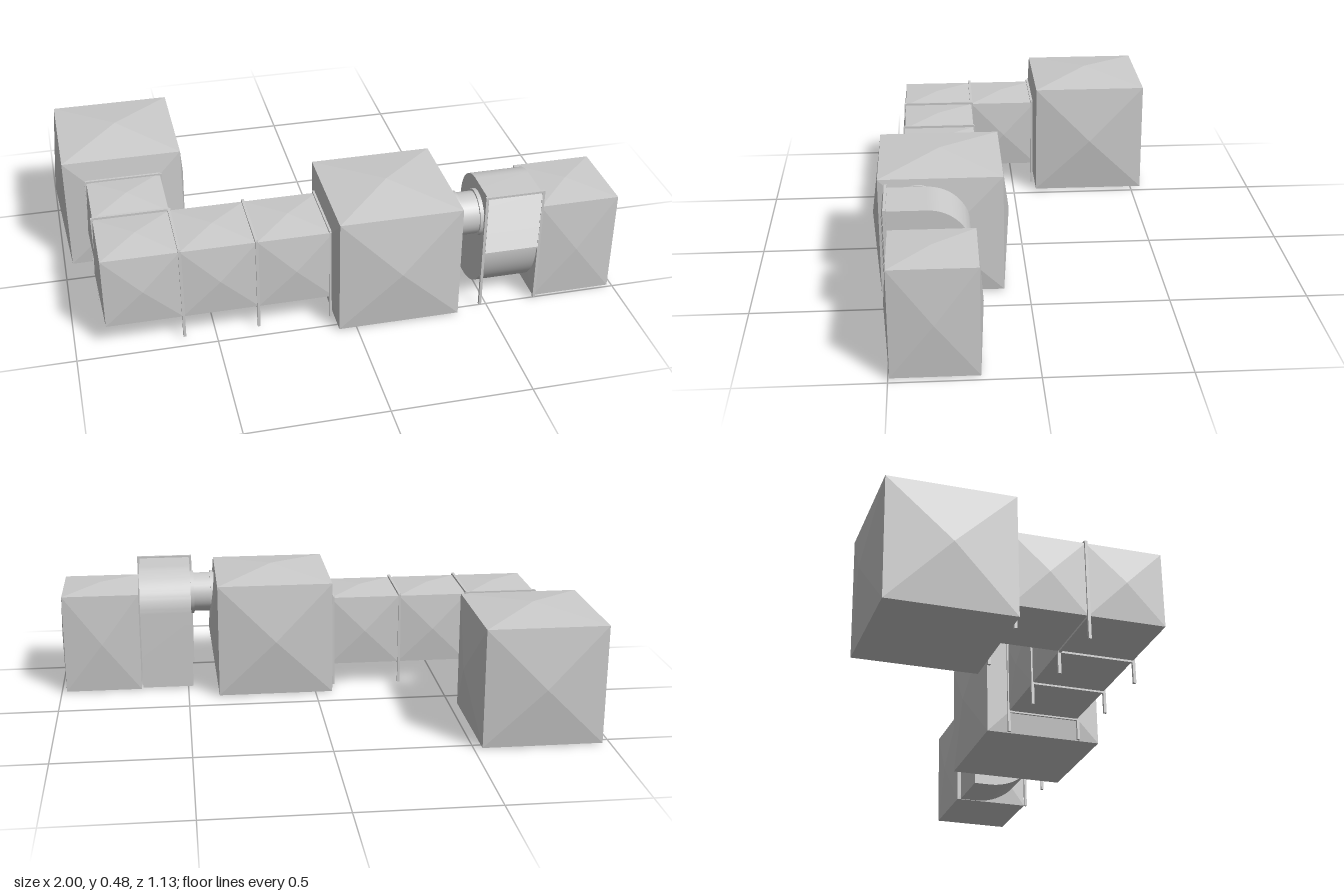
import * as THREE from 'three';
import { toCreasedNormals } from 'three/addons/utils/BufferGeometryUtils.js';

const grey = new THREE.MeshStandardMaterial({ color: 0xcccccc });
const faceted = new THREE.MeshStandardMaterial({ color: 0xcccccc, flatShading: true });

// Box whose six faces each rise to a shallow pyramid point
function peakedBox(name, [x0, x1], [y0, y1], [z0, z1], peak, bottomPeak = peak) {
  const centre = new THREE.Vector3(x0 + x1, y0 + y1, z0 + z1).multiplyScalar(0.5);
  const half = new THREE.Vector3(x1 - x0, y1 - y0, z1 - z0).multiplyScalar(0.5);
  const pos = [];
  for (let axis = 0; axis < 3; axis++) {
    const u = (axis + 1) % 3, v = (axis + 2) % 3;
    for (const side of [-1, 1]) {
      const point = (a, b, lift) => {
        const p = new THREE.Vector3();
        p.setComponent(axis, side * (half.getComponent(axis) + lift));
        p.setComponent(u, a * side * half.getComponent(u));
        p.setComponent(v, b * half.getComponent(v));
        return p.add(centre);
      };
      const tip = point(0, 0, axis === 1 && side < 0 ? bottomPeak : peak);
      const ring = [[-1, -1], [1, -1], [1, 1], [-1, 1]].map(([a, b]) => point(a, b, 0));
      ring.forEach((p, i) => {
        for (const q of [p, ring[(i + 1) % 4], tip]) pos.push(q.x, q.y, q.z);
      });
    }
  }
  const geo = new THREE.BufferGeometry();
  geo.setAttribute('position', new THREE.Float32BufferAttribute(pos, 3));
  geo.computeVertexNormals();
  const mesh = new THREE.Mesh(geo, faceted);
  mesh.name = name;
  return mesh;
}

function bar(name, w, h, d, x, y, z) {
  const mesh = new THREE.Mesh(new THREE.BoxGeometry(w, h, d), grey);
  mesh.position.set(x, y, z);
  mesh.name = name;
  return mesh;
}

// Portal frame: two legs to the ground and bars over and under the corridor
function supportFrame(x, z, alongX) {
  const frame = new THREE.Group();
  frame.name = 'supportFrame';
  const t = 0.01, half = 0.139;
  for (const s of [-1, 1]) frame.add(bar('frameLeg', t, 0.366, t, s * half, 0.19, 0));
  for (const y of [0.371, 0.09]) frame.add(bar('frameBeam', half * 2, t, t, 0, y, 0));
  frame.position.set(x, 0, z);
  if (alongX) frame.rotation.y = Math.PI / 2;
  return frame;
}

function ductPart(name, radius, x, length) {
  const mesh = new THREE.Mesh(new THREE.CylinderGeometry(radius, radius, length, 32), grey);
  mesh.rotation.z = Math.PI / 2;
  mesh.position.set(x, 0.345, 0.395);
  mesh.name = name;
  return mesh;
}

export function createModel() {
  const model = new THREE.Group();
  model.name = 'linkedModules';

  // Main modules
  model.add(
    peakedBox('rearModule', [-0.97, -0.53], [0.007, 0.45], [-0.54, -0.095], 0.03, 0.005),
    peakedBox('centreModule', [-0.065, 0.38], [0.007, 0.45], [0.09, 0.535], 0.03, 0.005),
    peakedBox('endModule', [0.685, 0.98], [0.007, 0.397], [0.197, 0.495], 0.016, 0.005)
  );

  // L-shaped corridor
  const h = [0.093, 0.367], front = [0.173, 0.447];
  for (const xs of [[-0.887, -0.613], [-0.613, -0.34], [-0.34, -0.067]])
    model.add(peakedBox('corridorSegment', xs, h, front, 0.015));
  model.add(peakedBox('corridorLink', [-0.887, -0.613], h, [-0.095, 0.173], 0.015));
  for (const x of [-0.613, -0.343, -0.078]) model.add(supportFrame(x, 0.31, true));
  for (const z of [0.173, -0.081]) model.add(supportFrame(-0.75, z, false));

  // Air handler body with rounded upper back and lower front
  const profile = new THREE.Shape();
  profile.moveTo(0.5, 0.23);
  profile.lineTo(0.5, 0.463);
  profile.lineTo(0.36, 0.463);
  profile.absarc(0.36, 0.313, 0.15, Math.PI / 2, Math.PI, false);
  profile.lineTo(0.21, 0.007);
  profile.lineTo(0.277, 0.007);
  profile.absarc(0.277, 0.23, 0.223, -Math.PI / 2, 0, false);
  const bodyGeo = new THREE.ExtrudeGeometry(profile, { depth: 0.2, bevelEnabled: false, curveSegments: 14 });
  bodyGeo.rotateY(-Math.PI / 2);
  bodyGeo.translate(0.68, 0, 0);
  const body = new THREE.Mesh(toCreasedNormals(bodyGeo, 0.5), grey);
  body.name = 'airHandlerBody';
  model.add(body);

  // Louvred grille in its frame
  for (const x of [0.475, 0.685]) model.add(bar('grillePost', 0.01, 0.463, 0.01, x, 0.2385, 0.502));
  for (const y of [0.466, 0.232]) model.add(bar('grilleRail', 0.21, 0.008, 0.01, 0.58, y, 0.502));
  for (let i = 0; i < 8; i++) {
    const slat = bar('louvreSlat', 0.2, 0.026, 0.003, 0.58, 0.249 + i * 0.0285, 0.506);
    slat.rotation.x = -0.5;
    model.add(slat);
  }

  // Connecting duct with end flanges
  model.add(
    ductPart('duct', 0.078, 0.43, 0.11),
    ductPart('ductFlange', 0.086, 0.394, 0.012),
    ductPart('ductFlange', 0.086, 0.472, 0.014)
  );
  return model;
}
